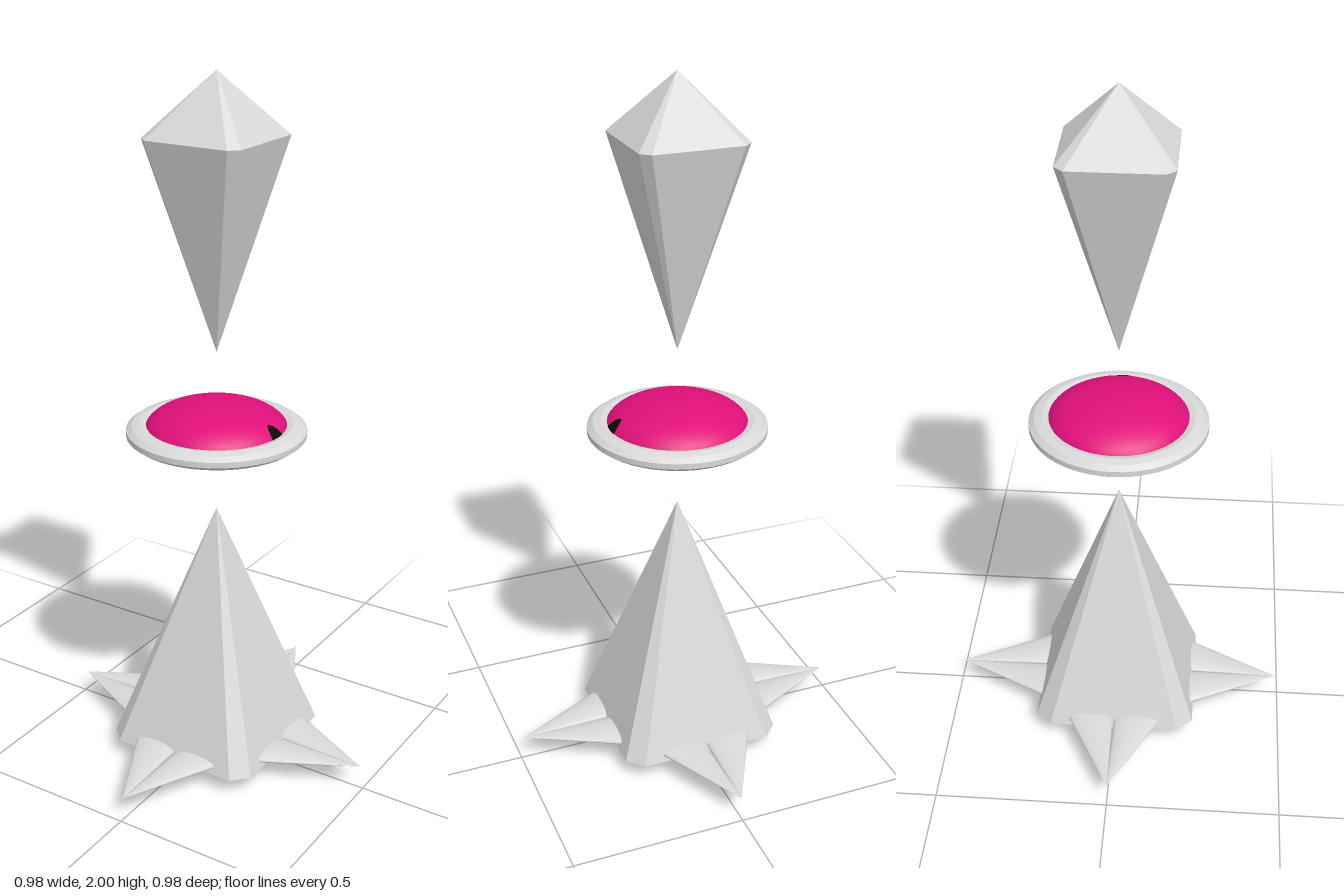
import * as THREE from 'three';

const stone = new THREE.MeshStandardMaterial({ color: 0xd9d9d9 });
stone.name = 'pale stone';
const pink = new THREE.MeshStandardMaterial({ color: 0xe0107a });
pink.name = 'magenta';
const black = new THREE.MeshStandardMaterial({ color: 0x080808 });
black.name = 'black';

function add(parent, name, geometry, material) {
  const mesh = new THREE.Mesh(geometry, material);
  mesh.name = name;
  parent.add(mesh);
  return mesh;
}

// Faceted double pyramid on a square girdle with cut corners
function crystalGeometry(top, middle, bottom, half, cut) {
  const i = half - cut;
  const girdle = [[half, -i], [half, i], [i, half], [-i, half],
    [-half, i], [-half, -i], [-i, -half], [i, -half]];
  const points = [];
  girdle.forEach(([x, z], k) => {
    const [x2, z2] = girdle[(k + 1) % 8];
    points.push(0, top, 0, x2, middle, z2, x, middle, z);
    points.push(0, bottom, 0, x, middle, z, x2, middle, z2);
  });
  const geometry = new THREE.BufferGeometry();
  geometry.setAttribute('position', new THREE.Float32BufferAttribute(points, 3));
  geometry.computeVertexNormals();
  return geometry;
}

// Flattened cone whose base sits to one side and whose tip leans to the centre line
function spikeGeometry(side) {
  const baseZ = 0.17, tipZ = 0.49, slope = 0.263;
  const length = tipZ - baseZ;
  const geometry = new THREE.ConeGeometry(1, length, 24, 1);
  geometry.rotateX(Math.PI / 2);
  geometry.translate(0, 0, baseZ + length / 2);
  const p = geometry.attributes.position;
  const width = slope * length * 0.97;
  for (let k = 0; k < p.count; k++) {
    const toTip = tipZ - p.getZ(k);
    p.setXYZ(k, p.getX(k) * width + side * slope * toTip, p.getY(k) * 0.021, p.getZ(k));
  }
  geometry.computeVertexNormals();
  return geometry;
}

// Slit pupil laid on the curved surface at the +x end of the eye
function pupilGeometry(rx, ry) {
  const geometry = new THREE.RingGeometry(0.0001, 1, 24, 10);
  const p = geometry.attributes.position;
  for (let k = 0; k < p.count; k++) {
    const z = -p.getX(k) * 0.14, y = p.getY(k) * 0.59;
    p.setXYZ(k, Math.sqrt(1 - y * y - z * z) * rx, y * ry, z * rx);
  }
  geometry.computeVertexNormals();
  return geometry;
}

export function createModel() {
  const model = new THREE.Group();
  model.name = 'floatingEyeMonument';

  add(model, 'upperCrystal', crystalGeometry(2, 1.83, 1.24, 0.152, 0.026), stone);
  add(model, 'basePyramid', crystalGeometry(0.77, 0.05, 0, 0.237, 0.045), stone);

  // Paired spikes on all four sides of the base
  for (let k = 0; k < 4; k++) {
    const pair = new THREE.Group();
    pair.name = 'spikePair';
    pair.position.y = 0.07;
    pair.rotation.y = k * Math.PI / 2;
    for (const side of [-1, 1]) add(pair, 'spike', spikeGeometry(side), stone);
    model.add(pair);
  }

  // Floating eye
  const eye = new THREE.Group();
  eye.name = 'eye';
  eye.position.y = 1.008;
  const ball = new THREE.SphereGeometry(1, 48, 32);
  ball.scale(0.204, 0.084, 0.204);
  add(eye, 'eyeball', ball, pink);
  add(eye, 'pupil', pupilGeometry(0.2055, 0.0852), black).material.side = THREE.DoubleSide;

  // Ring around the eye, with crisp steps in its profile
  const profile = [[0.196, -0.02], [0.215, -0.025], [0.238, -0.02], [0.254, -0.008],
    [0.254, 0.008], [0.238, 0.02], [0.215, 0.025], [0.196, 0.02]];
  for (let k = 0; k < profile.length - 1; k++) {
    const strip = [profile[k], profile[k + 1]].map(([r, y]) => new THREE.Vector2(r, y));
    add(eye, 'eyeRing', new THREE.LatheGeometry(strip, 48), stone);
  }
  model.add(eye);
  return model;
}
